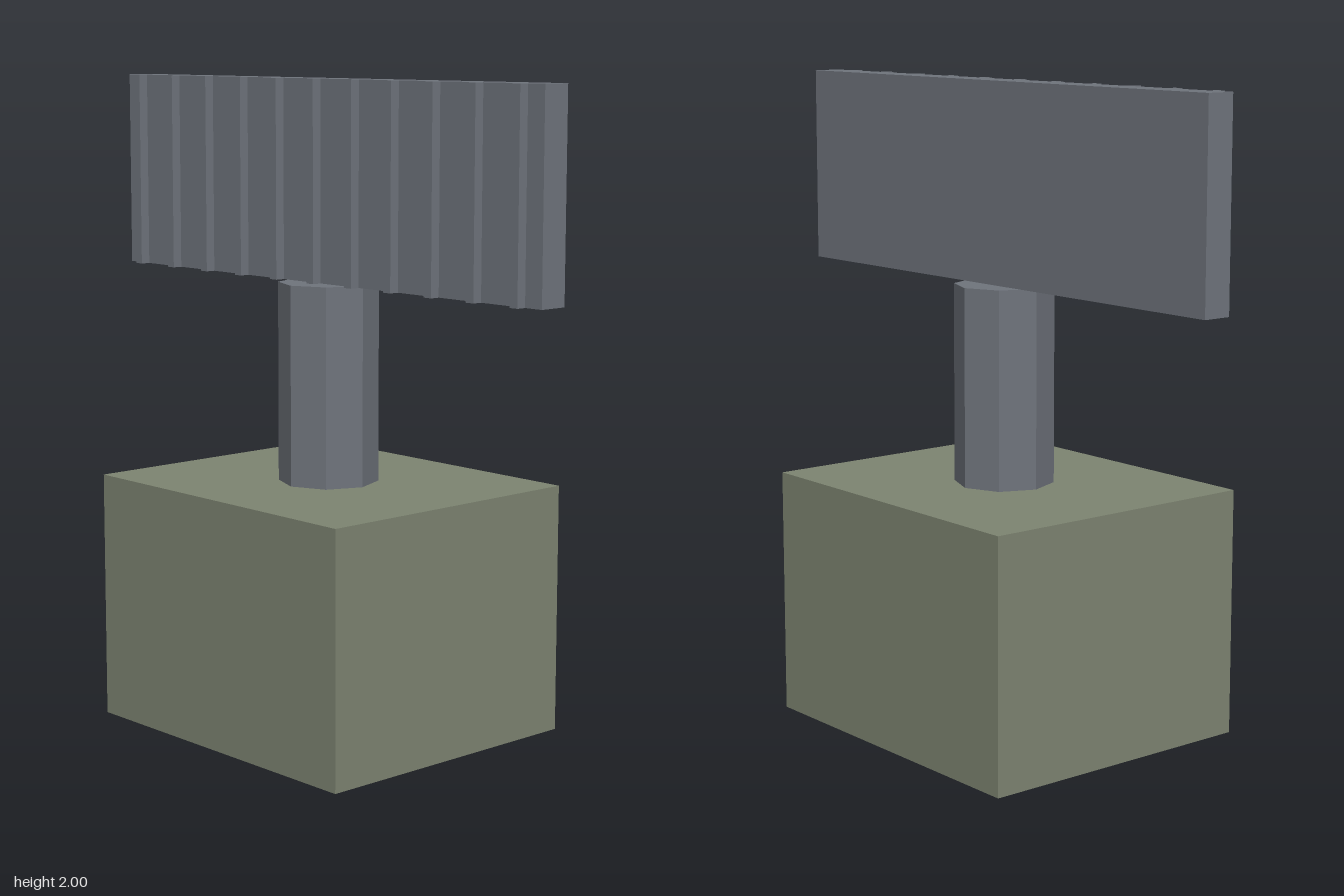
import * as THREE from 'three';

export function createModel() {
  const group = new THREE.Group();
  const stone = new THREE.MeshStandardMaterial({ name: 'greenGrey', color: 0x7d8471 });
  const metal = new THREE.MeshStandardMaterial({ name: 'steelGrey', color: 0x6f747c });
  metal.flatShading = true;

  const add = (name, geometry, material, x, y, z) => {
    const mesh = new THREE.Mesh(geometry, material);
    mesh.name = name;
    mesh.position.set(x, y, z);
    group.add(mesh);
  };

  const baseTop = 0.77, columnTop = 1.385, top = 2;
  const panelHeight = top - columnTop;
  const panelY = (top + columnTop) / 2;

  // Block base
  add('base', new THREE.BoxGeometry(1.077, baseTop, 0.923), stone, 0, baseTop / 2, 0);

  // Octagonal mast
  add('mast', new THREE.CylinderGeometry(0.154, 0.154, columnTop - baseTop, 8), metal,
    0, (baseTop + columnTop) / 2, 0);

  // Flat antenna panel
  add('panel', new THREE.BoxGeometry(1.846, panelHeight, 0.092), metal, 0, panelY, 0);

  // Vertical ribs along the front of the panel
  const ribGeometry = new THREE.BoxGeometry(0.03, panelHeight, 0.031);
  for (let i = -5; i <= 5; i++) {
    add(`rib${i + 6}`, ribGeometry, metal, i * 0.169, panelY, 0.0615);
  }
  return group;
}
